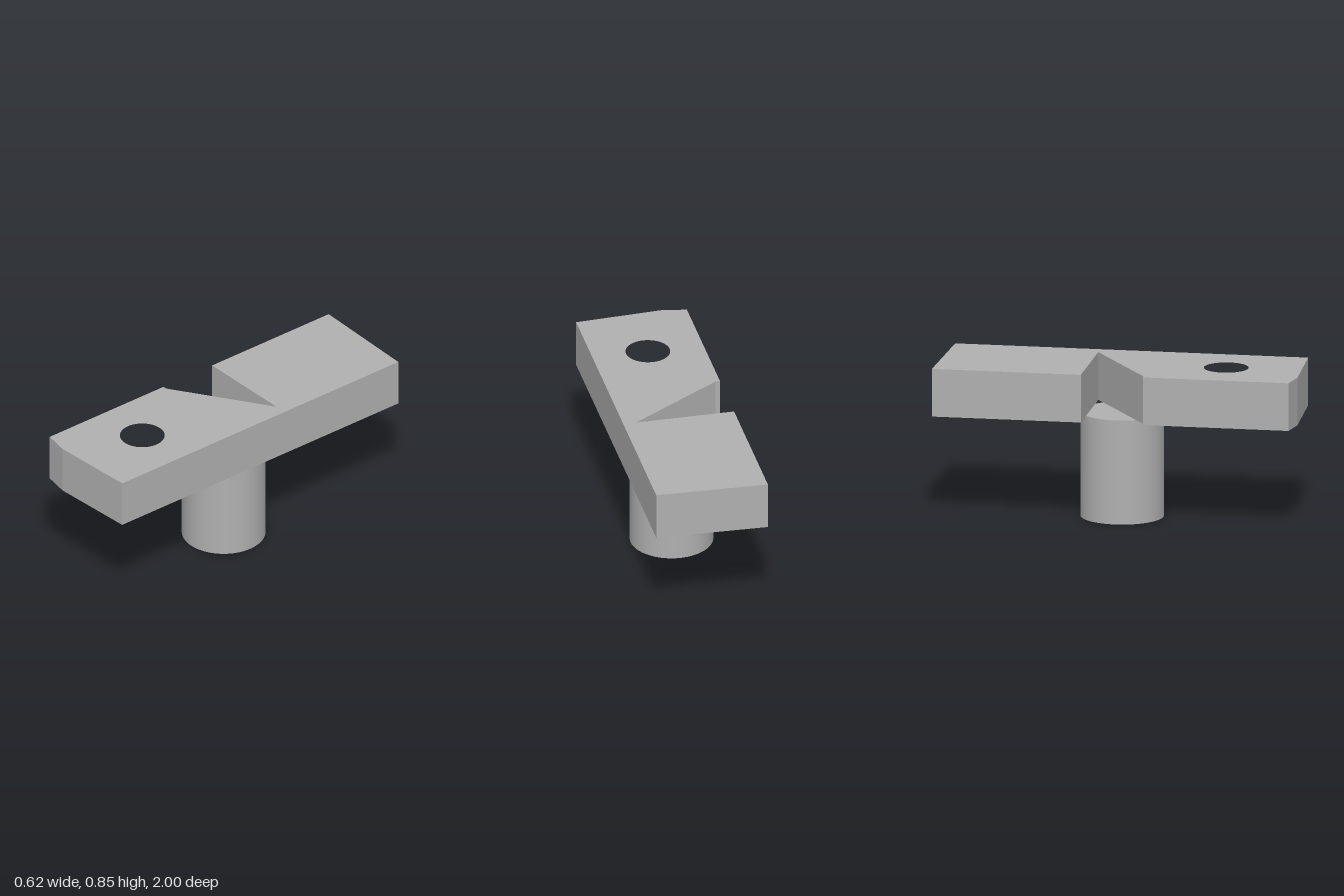
import * as THREE from 'three';
import { toCreasedNormals } from 'three/addons/utils/BufferGeometryUtils.js';

const PLATE_BOTTOM = 0.583;
const PLATE_TOP = 0.85;

export function createModel() {
  const model = new THREE.Group();
  model.name = 'notchedPlateOnPost';
  const grey = new THREE.MeshStandardMaterial({ color: 0xb0b0b0 });
  grey.name = 'grey';

  // Plate outline as [x, z], with a wedge notch on the right side
  const outline = [
    [-0.31, -1], [0.31, -0.98], [0.31, 0.975], [-0.17, 1], [-0.31, 0.975],
    [-0.31, 0.17], [-0.285, 0.168], [0.24, -0.175], [-0.31, -0.175],
  ];
  const shape = new THREE.Shape(outline.map(([x, z]) => new THREE.Vector2(x, -z)));

  // Two bolt holes, [z, radius]
  for (const [z, radius] of [[-0.582, 0.117], [0.576, 0.122]]) {
    const hole = new THREE.Path();
    hole.absarc(0, -z, radius, 0, Math.PI * 2, true);
    shape.holes.push(hole);
  }

  const plateGeometry = new THREE.ExtrudeGeometry(shape, {
    depth: PLATE_TOP - PLATE_BOTTOM, bevelEnabled: false, curveSegments: 32,
  });
  plateGeometry.rotateX(-Math.PI / 2);
  // Smooth hole walls, sharp plate edges
  const plate = new THREE.Mesh(toCreasedNormals(plateGeometry, 0.16), grey);
  plate.name = 'plate';
  plate.position.y = PLATE_BOTTOM;
  model.add(plate);

  // Round post below the plate
  const post = new THREE.Mesh(
    new THREE.CylinderGeometry(0.229, 0.229, PLATE_BOTTOM, 64), grey);
  post.name = 'post';
  post.position.y = PLATE_BOTTOM / 2;
  model.add(post);

  return model;
}
